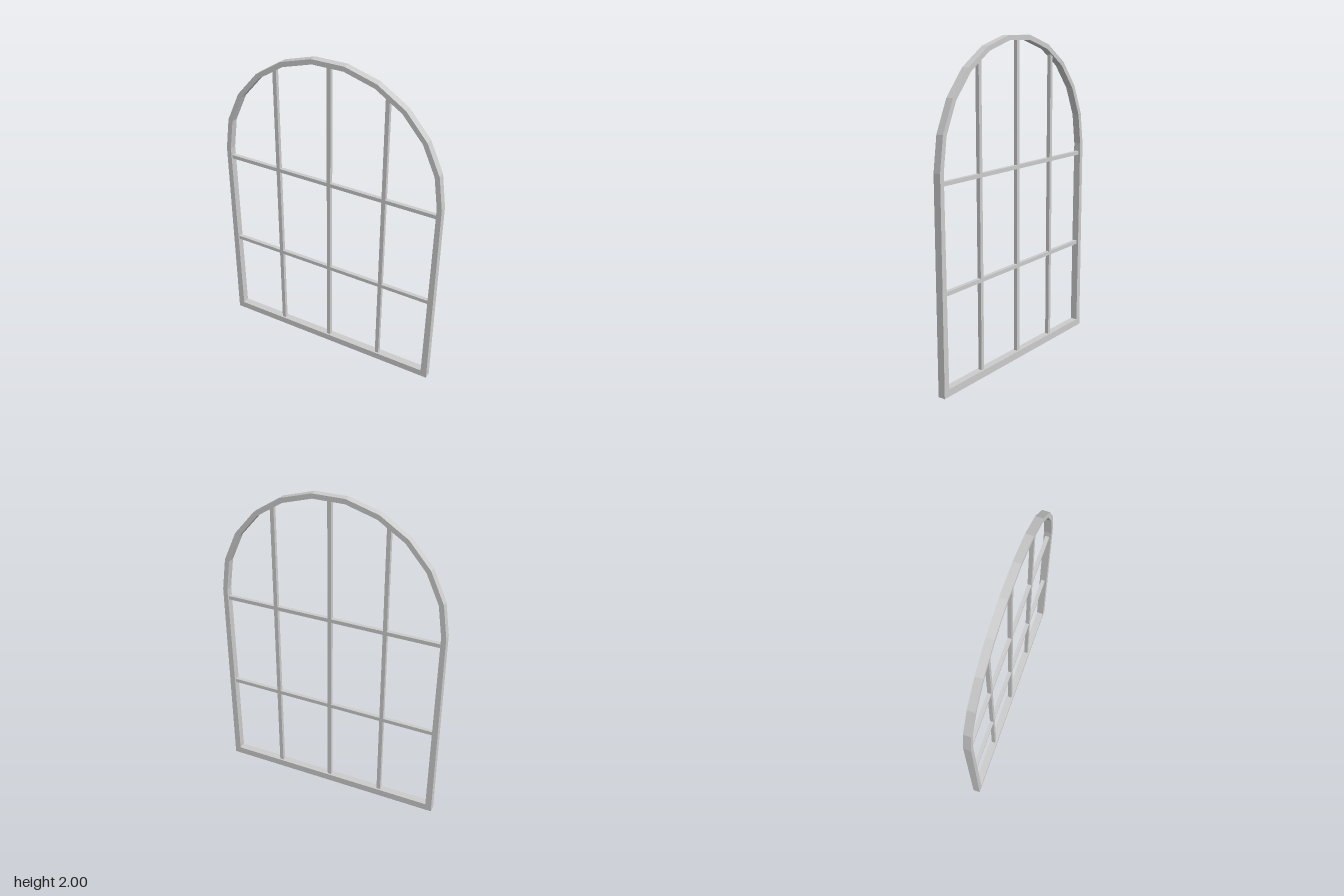
import * as THREE from 'three';

const DEPTH = 0.046, BAR = 0.024;
const SPRING = 1.285, SEGMENTS = 11;
const OUTER = 0.722, INNER = 0.692;

// Outline of one side of the frame: straight jambs closed by a faceted arch
function archPoints(radius, footX, footY) {
  const points = [new THREE.Vector2(-footX, footY), new THREE.Vector2(footX, footY)];
  for (let i = 0; i <= SEGMENTS; i++) {
    const a = (i / SEGMENTS) * Math.PI;
    points.push(new THREE.Vector2(radius * Math.cos(a), SPRING + radius * Math.sin(a)));
  }
  return points;
}

// Height of the middle of the arch rim above a given x
function rimHeight(x) {
  const r = (OUTER + INNER) / 2 - 0.003;
  return SPRING + Math.sqrt(r * r - x * x) - 0.004;
}

export function createModel() {
  const model = new THREE.Group();
  model.name = 'archedWindow';
  const material = new THREE.MeshStandardMaterial({ color: 0xcccccc, flatShading: true });

  function add(name, geometry, x = 0, y = 0, z = 0) {
    const mesh = new THREE.Mesh(geometry, material);
    mesh.name = name;
    mesh.position.set(x, y, z);
    model.add(mesh);
  }

  // Frame: jambs taper slightly toward the arch
  const shape = new THREE.Shape(archPoints(OUTER, OUTER, 0));
  shape.holes.push(new THREE.Path(archPoints(INNER, 0.682, 0.045)));
  add('frame', new THREE.ExtrudeGeometry(shape, { depth: DEPTH, bevelEnabled: false }), 0, 0, -DEPTH / 2);

  // Vertical glazing bars, running from the sill into the arch
  const sill = 0.03;
  for (const x of [-0.353, 0, 0.361]) {
    const height = rimHeight(x) - sill;
    add('verticalBar', new THREE.BoxGeometry(BAR, height, BAR), x, sill + height / 2);
  }

  // Horizontal glazing bars between the jambs
  for (const y of [0.603, 1.222]) {
    add('horizontalBar', new THREE.BoxGeometry(1.4, BAR, BAR), 0, y);
  }

  return model;
}
